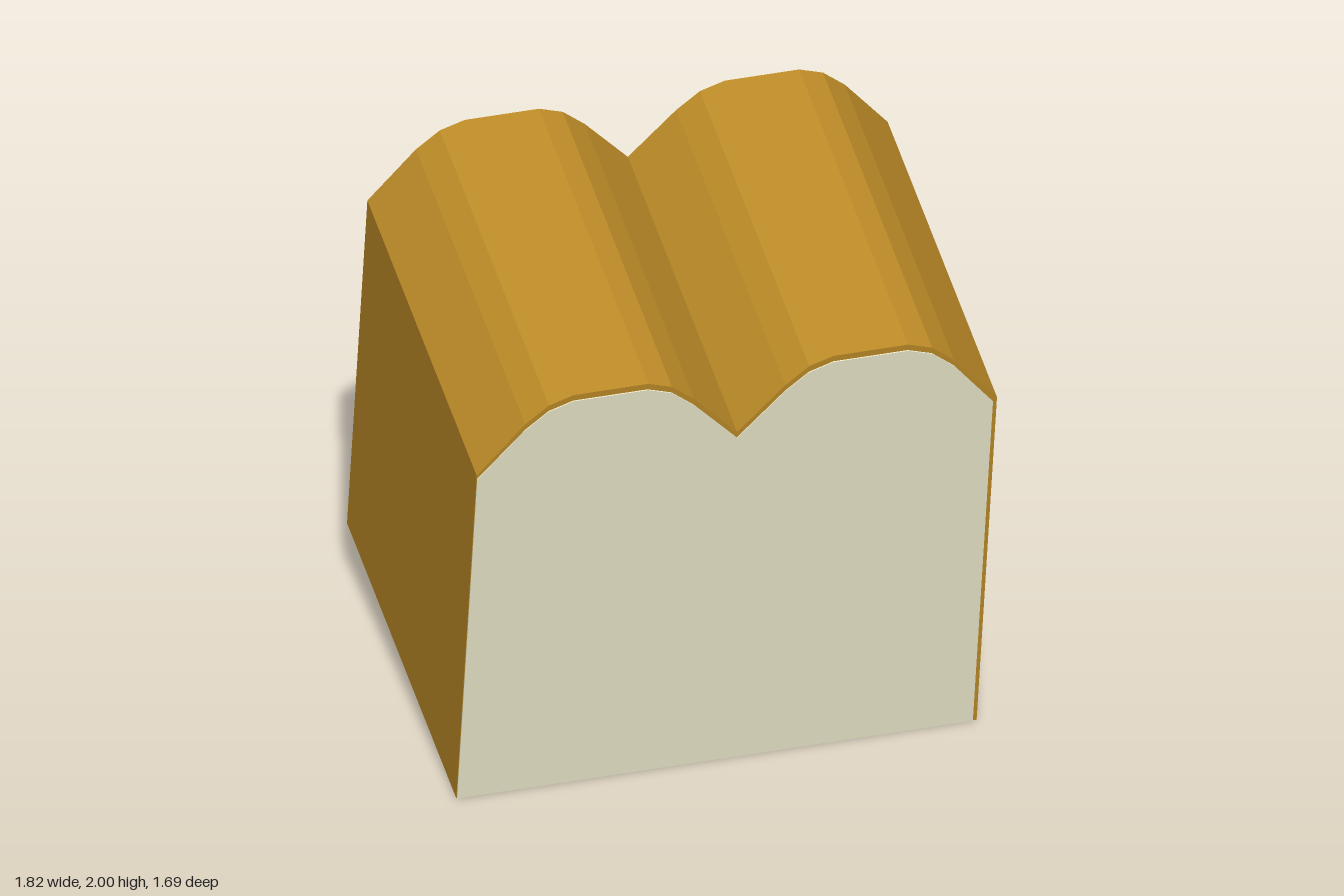
import * as THREE from 'three';

const TILT = THREE.MathUtils.degToRad(10);
const DEPTH = 1.4;

// One rounded lobe of the loaf top: x from its middle, height
const LOBE = [[-0.455, 1.5], [-0.295, 1.683], [-0.215, 1.754], [-0.13, 1.785]];

// Twin-lobed top line from left to right, lowered by drop and ending at xMin and xMax
function topLine(xMin, xMax, drop) {
  const lobe = [...LOBE, ...LOBE.map(([x, y]) => [-x, y]).reverse()];
  const points = [
    ...lobe.map(([x, y]) => new THREE.Vector2(x - 0.455, y - drop)),
    ...lobe.slice(1).map(([x, y]) => new THREE.Vector2(x + 0.455, y - drop)),
  ];
  points[0].set(xMin, 1.48 - drop * 0.6);
  points[points.length - 1].set(xMax, 1.48 - drop * 0.6);
  return points;
}

function slab(name, points, zBack, zFront, color) {
  const geometry = new THREE.ExtrudeGeometry(new THREE.Shape(points), {
    depth: zFront - zBack, bevelEnabled: false,
  });
  geometry.translate(0, 0, zBack);
  const mesh = new THREE.Mesh(geometry, new THREE.MeshStandardMaterial({ color, flatShading: true }));
  mesh.name = name;
  return mesh;
}

export function createModel() {
  const model = new THREE.Group();
  model.name = 'breadLoaf';

  // Loaf leans forward, resting on its lower front edge
  const loaf = new THREE.Group();
  loaf.name = 'tiltedLoaf';
  loaf.rotation.x = TILT;
  loaf.position.z = 0.535;
  model.add(loaf);

  // Crust: thin shell over the sides and top, open underneath and at both ends
  const inner = topLine(-0.895, 0.895, 0.025).reverse();
  const crust = [
    new THREE.Vector2(-0.91, 0), ...topLine(-0.91, 0.91, 0), new THREE.Vector2(0.91, 0),
    new THREE.Vector2(0.895, 0), ...inner, new THREE.Vector2(-0.895, 0),
  ];
  loaf.add(slab('crust', crust, -DEPTH, 0, 0xbf8d28));

  // Crumb: flush at the front, slightly recessed at the back
  const crumb = [
    new THREE.Vector2(-0.908, 0.001), ...topLine(-0.908, 0.896, 0.026), new THREE.Vector2(0.896, 0.001),
  ];
  loaf.add(slab('crumb', crumb, -DEPTH + 0.01, 0.003, 0xf0ecce));

  return model;
}
